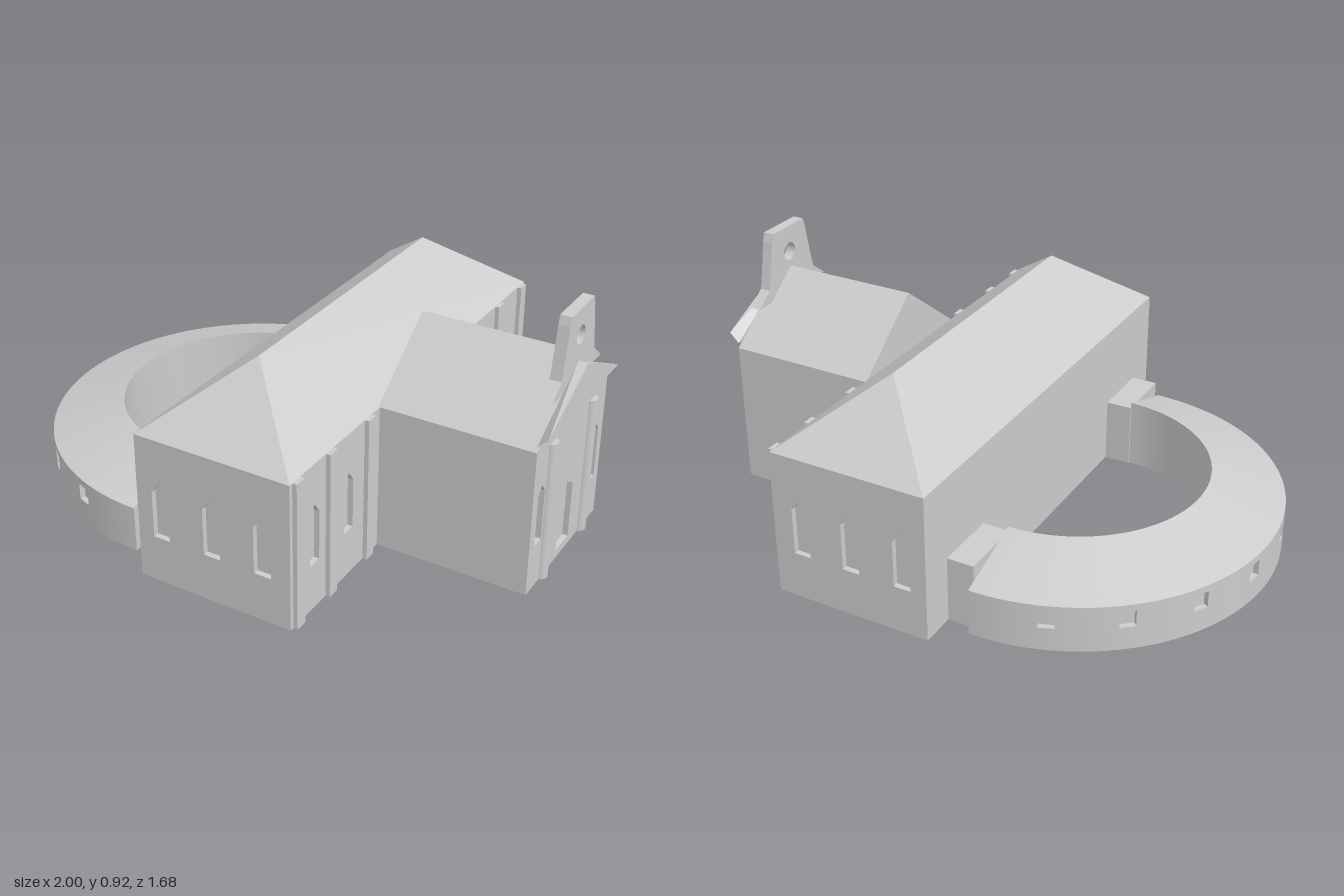
import * as THREE from 'three';
import { mergeGeometries, toCreasedNormals } from 'three/addons/utils/BufferGeometryUtils.js';
import { ConvexGeometry } from 'three/addons/geometries/ConvexGeometry.js';

const stone = new THREE.MeshStandardMaterial({ color: 0xcccccc });
stone.name = 'pale grey stone';

const EAVE = 0.535, RIDGE = 0.76, RECESS = 0.02;
const HALF_Z = 0.838, BACK_X = -0.16, FRONT_X = 0.417;   // main hall
const WING_X0 = 0.412, WING_X1 = 0.967, WING_Z = 0.29;   // entrance wing

function add(parent, name, geometry, x = 0, y = 0, z = 0) {
  const mesh = new THREE.Mesh(geometry, stone);
  mesh.name = name;
  mesh.position.set(x, y, z);
  parent.add(mesh);
  return mesh;
}

// Box given by its minimum and maximum corners
function block(parent, name, x0, x1, y0, y1, z0, z1) {
  return add(parent, name, new THREE.BoxGeometry(x1 - x0, y1 - y0, z1 - z0),
    (x0 + x1) / 2, (y0 + y1) / 2, (z0 + z1) / 2);
}

const solid = points => new ConvexGeometry(points.map(p => new THREE.Vector3(...p)));

// Wall panel pierced by pointed openings [centre, width, bottom, springing, tip]
function panel(x0, x1, openings) {
  const shape = new THREE.Shape([[x0, 0], [x1, 0], [x1, EAVE], [x0, EAVE]].map(p => new THREE.Vector2(...p)));
  for (const [c, w, bottom, spring, tip] of openings) {
    shape.holes.push(new THREE.Path([
      [c - w / 2, bottom], [c - w / 2, spring], [c, tip], [c + w / 2, spring], [c + w / 2, bottom],
    ].map(p => new THREE.Vector2(...p))));
  }
  return new THREE.ExtrudeGeometry(shape, { depth: RECESS, bevelEnabled: false });
}

function mainHall() {
  const hall = new THREE.Group();
  hall.name = 'mainHall';
  const innerX = FRONT_X - RECESS, innerZ = HALF_Z - RECESS;
  block(hall, 'hallCore', BACK_X, innerX, 0, EAVE, -innerZ, innerZ);

  // Front wall with windows and pilasters
  const frontWindows = [-0.695, -0.485, 0.485, 0.695].map(z => [z, 0.056, 0.17, 0.35, 0.39]);
  add(hall, 'hallFrontWall', panel(-HALF_Z, HALF_Z, frontWindows), innerX).rotation.y = Math.PI / 2;
  for (const side of [-1, 1])
    for (const z of [0.365, 0.605, 0.8])
      block(hall, 'pilaster', FRONT_X - 0.01, 0.433, 0, EAVE, side * z - 0.0225, side * z + 0.0225);

  // End walls, each with three windows
  const ends = [-0.07, 0.125, 0.315];
  const endOpening = x => [x, 0.062, 0.17, 0.34, 0.378];
  add(hall, 'leftEndWall', panel(BACK_X, innerX, ends.map(endOpening)), 0, 0, innerZ);
  add(hall, 'rightEndWall', panel(-innerX, -BACK_X, ends.map(x => endOpening(-x))), 0, 0, -innerZ)
    .rotation.y = Math.PI;

  // Hipped roof
  const points = [[0.125, RIDGE, 0.548], [0.125, RIDGE, -0.548]];
  for (const x of [BACK_X, FRONT_X]) for (const s of [-1, 1]) points.push([x, EAVE, s * HALF_Z]);
  add(hall, 'hippedRoof', solid(points));
  return hall;
}

function entranceWing() {
  const wing = new THREE.Group();
  wing.name = 'entranceWing';
  const innerX = WING_X1 - RECESS;
  block(wing, 'wingCore', WING_X0, innerX, 0, EAVE, -WING_Z, WING_Z);
  const openings = [
    [-0.225, 0.055, 0.165, 0.35, 0.385],
    [0, 0.104, 0.03, 0.245, 0.275],
    [0.225, 0.055, 0.165, 0.35, 0.385],
  ];
  add(wing, 'entranceWall', panel(-WING_Z, WING_Z, openings), innerX).rotation.y = Math.PI / 2;

  // Gabled roof
  add(wing, 'gabledRoof', solid([WING_X0, WING_X1].flatMap(x =>
    [[x, EAVE, -WING_Z], [x, EAVE, WING_Z], [x, RIDGE, 0]])));

  // Pediment, its underside sloping back to the wall
  add(wing, 'pediment', solid([[WING_X1 - 0.002, 0.555], [1, 0.59]].flatMap(([x, y]) =>
    [[x, y, -WING_Z], [x, y, WING_Z], [x, 0.725, 0]])));

  // Engaged round columns
  for (const s of [-1, 1])
    add(wing, 'column', new THREE.CylinderGeometry(0.027, 0.027, 0.513, 24), 0.96, 0.2565, s * 0.163);

  // Flared bell gable with a round opening
  const half = [[0.2, 0.66], [0.135, 0.71], [0.122, 0.77], [0.108, 0.84], [0.1, 0.885], [0.09, 0.915]];
  const outline = [...half, ...half.map(([z, y]) => [-z, y]).reverse()];
  const shape = new THREE.Shape(outline.map(p => new THREE.Vector2(...p)));
  shape.holes.push(new THREE.Path().absarc(0, 0.817, 0.033, 0, Math.PI * 2, true));
  add(wing, 'bellGable', new THREE.ExtrudeGeometry(shape, { depth: 0.04, bevelEnabled: false, curveSegments: 24 }),
    WING_X1 - 0.04).rotation.y = Math.PI / 2;
  return wing;
}

// Half-ring cloister: lathed sectors, notched where the windows are
function cloister() {
  const group = new THREE.Group();
  group.name = 'cloister';
  const inner = 0.482, outer = 0.744, y0 = 0.085, y1 = 0.145, back = outer - RECESS;
  const vec = pts => pts.map(p => new THREE.Vector2(...p));
  const plain = vec([[inner, 0], [outer, 0], [outer, 0.17], [inner, 0.26], [inner, 0]]);
  const notch = vec([[back, y0], [outer, y0], [outer, y1], [back, y1]]);
  const notched = vec([[inner, 0], [outer, 0], [outer, y0], [back, y0], [back, y1], [outer, y1],
    [outer, 0.17], [inner, 0.26], [inner, 0]]);
  const parts = [];
  const sector = (points, a, b) =>
    parts.push(new THREE.LatheGeometry(points, Math.ceil((b - a) / 0.06), a, b - a).toNonIndexed());
  // Flat radial face at angle phi
  const cap = (points, phi, flip) => {
    const g = new THREE.ShapeGeometry(new THREE.Shape(points));
    if (flip) g.index.array.reverse();
    parts.push(g.rotateY(phi - Math.PI / 2).toNonIndexed());
  };

  let start = Math.PI;
  const halfAngle = 0.0275 / outer;
  for (let i = 0; i < 8; i++) {
    const mid = Math.PI + THREE.MathUtils.degToRad(20 + 20 * i);
    sector(plain, start, mid - halfAngle);
    sector(notched, mid - halfAngle, mid + halfAngle);
    cap(notch, mid - halfAngle, true);
    cap(notch, mid + halfAngle, false);
    start = mid + halfAngle;
  }
  sector(plain, start, Math.PI * 2);
  const section = plain.slice(0, 4);
  cap(section, Math.PI, false);
  cap(section, Math.PI * 2, true);
  add(group, 'cloisterRing', toCreasedNormals(mergeGeometries(parts), 0.3), -0.256);

  // Links to the main hall
  for (const s of [-1, 1]) {
    const z = s * 0.593;
    block(group, 'cloisterLink', -0.257, BACK_X, 0, 0.24, z - 0.117, z + 0.117);
  }
  return group;
}

export function createModel() {
  const model = new THREE.Group();
  model.name = 'church';
  model.add(mainHall(), entranceWing(), cloister());
  return model;
}
